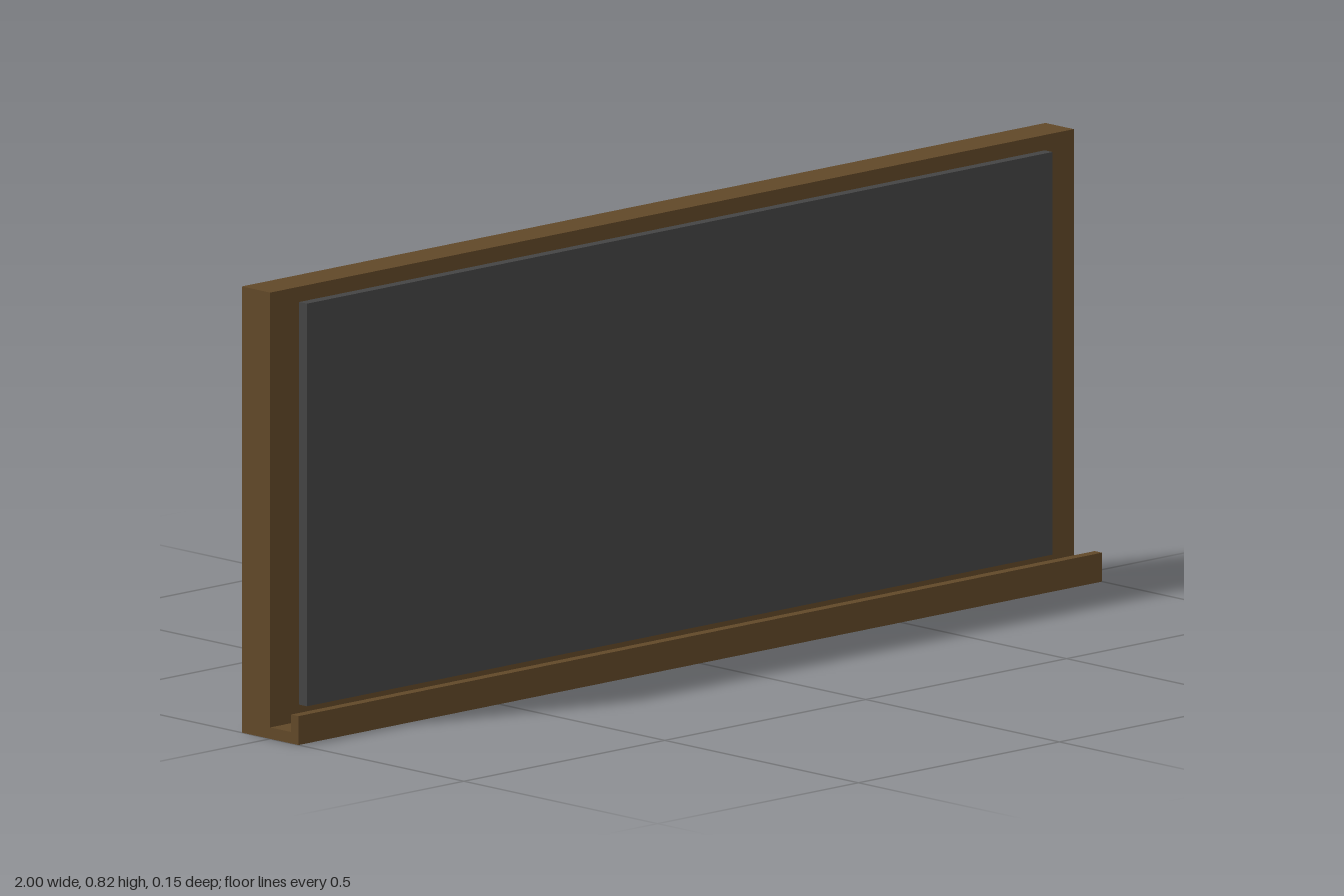
import * as THREE from 'three';

const WIDTH = 2;

export function createModel() {
  const model = new THREE.Group();
  const wood = new THREE.MeshStandardMaterial({ color: 0x614828 });
  const slate = new THREE.MeshStandardMaterial({ color: 0x444444 });

  const add = (name, geometry, material) => {
    const mesh = new THREE.Mesh(geometry, material);
    mesh.name = name;
    model.add(mesh);
    return mesh;
  };

  // Solid wooden backing, whose margin frames the writing surface
  add('backingBoard', new THREE.BoxGeometry(WIDTH, 0.818, 0.073), wood)
    .position.set(0, 0.409, -0.0365);

  // Dark writing surface standing proud of the backing
  add('writingSurface', new THREE.BoxGeometry(1.856, 0.738, 0.02), slate)
    .position.set(0, 0.421, 0.01);

  // Chalk tray: an L-shaped section (z, y) run along the full width
  const section = new THREE.Shape([
    [0, 0], [0.073, 0], [0.073, 0.053], [0.054, 0.053], [0.054, 0.021], [0, 0.021],
  ].map(([z, y]) => new THREE.Vector2(z, y)));
  const tray = new THREE.ExtrudeGeometry(section, { depth: WIDTH, bevelEnabled: false });
  tray.rotateY(-Math.PI / 2).translate(WIDTH / 2, 0, 0);
  add('chalkTray', tray, wood);

  return model;
}
